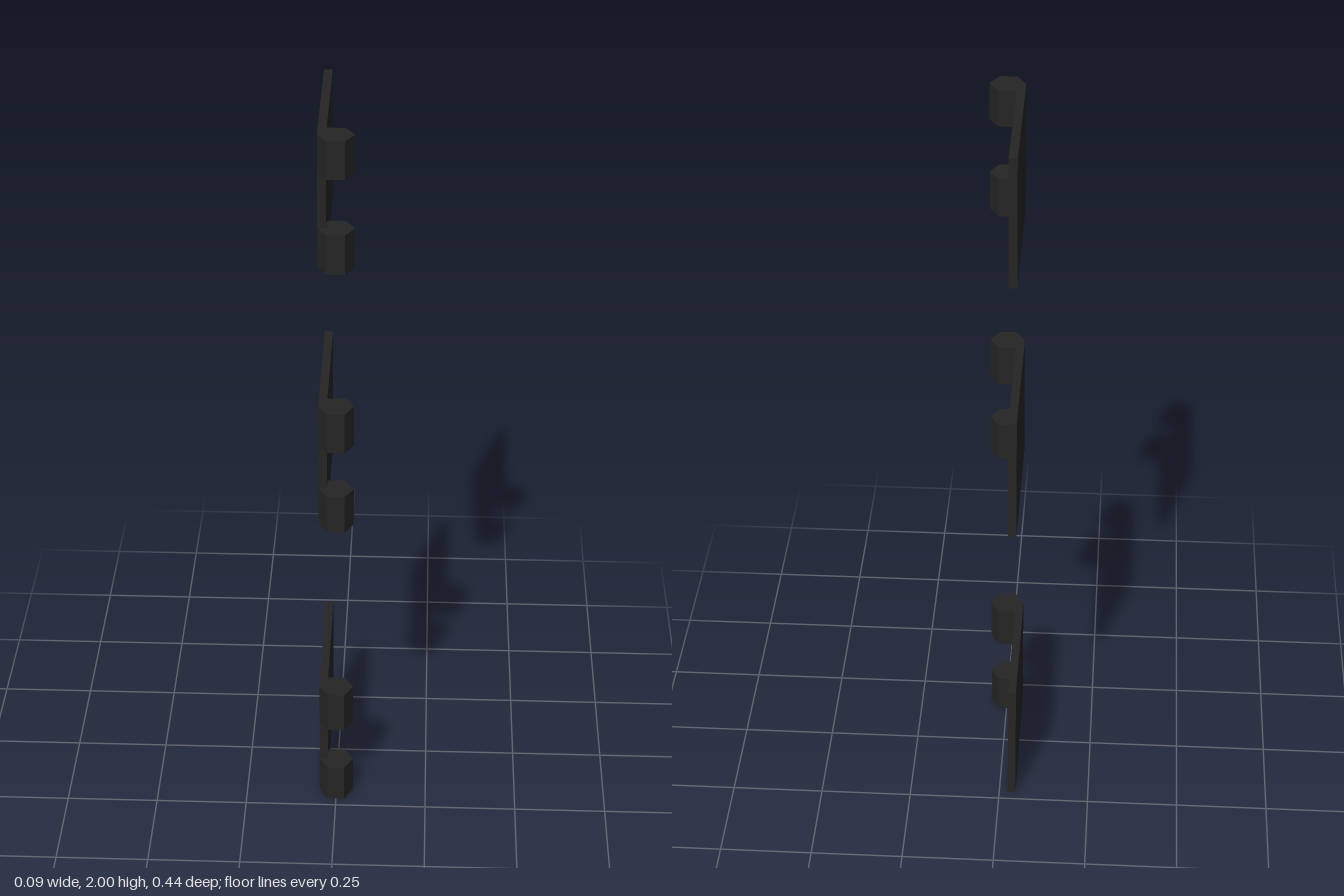
import * as THREE from 'three';

const darkMetal = new THREE.MeshStandardMaterial({ color: 0x252525 });
darkMetal.name = 'dark metal';

// Outer face, inner face and free edge of a leaf, and the z of the pin axis
const OUTER = -0.046, INNER = -0.024, BACK = -0.222, AXIS = 0.181;

// Extrudes an outline of [x, z] points upward between two heights
function prism(name, outline, y0, y1) {
  const shape = new THREE.Shape(outline.map(([x, z]) => new THREE.Vector2(x, -z)));
  const geometry = new THREE.ExtrudeGeometry(shape, { depth: y1 - y0, bevelEnabled: false });
  geometry.rotateX(-Math.PI / 2).translate(0, y0, 0);
  const mesh = new THREE.Mesh(geometry, darkMetal);
  mesh.name = name;
  return mesh;
}

const leafOutline = [[OUTER, BACK], [OUTER, AXIS], [INNER, AXIS], [INNER, BACK]];

// Six-sided knuckle, cut away where it meets the leaf
const knuckleOutline = [
  [INNER, 0.141], [INNER, AXIS], [OUTER, AXIS], [-0.023, 0.222],
  [0.023, 0.222], [0.046, AXIS], [0.023, 0.141],
];

// Heights: bottom, top of lower knuckle, bottom of upper knuckle, top
const hinges = [
  ['bottomHinge', 0, 0.11, 0.24, 0.36],
  ['middleHinge', 0.89, 1.0, 1.133, 1.248],
  ['topHinge', 1.645, 1.752, 1.9, 2.0],
];

export function createModel() {
  const model = new THREE.Group();
  model.name = 'hingeSet';
  for (const [name, bottom, gapBottom, gapTop, top] of hinges) {
    const hinge = new THREE.Group();
    hinge.name = name;
    hinge.add(
      prism('leaf', leafOutline, bottom, top),
      prism('lowerKnuckle', knuckleOutline, bottom, gapBottom),
      prism('upperKnuckle', knuckleOutline, gapTop, top),
    );
    model.add(hinge);
  }
  return model;
}
